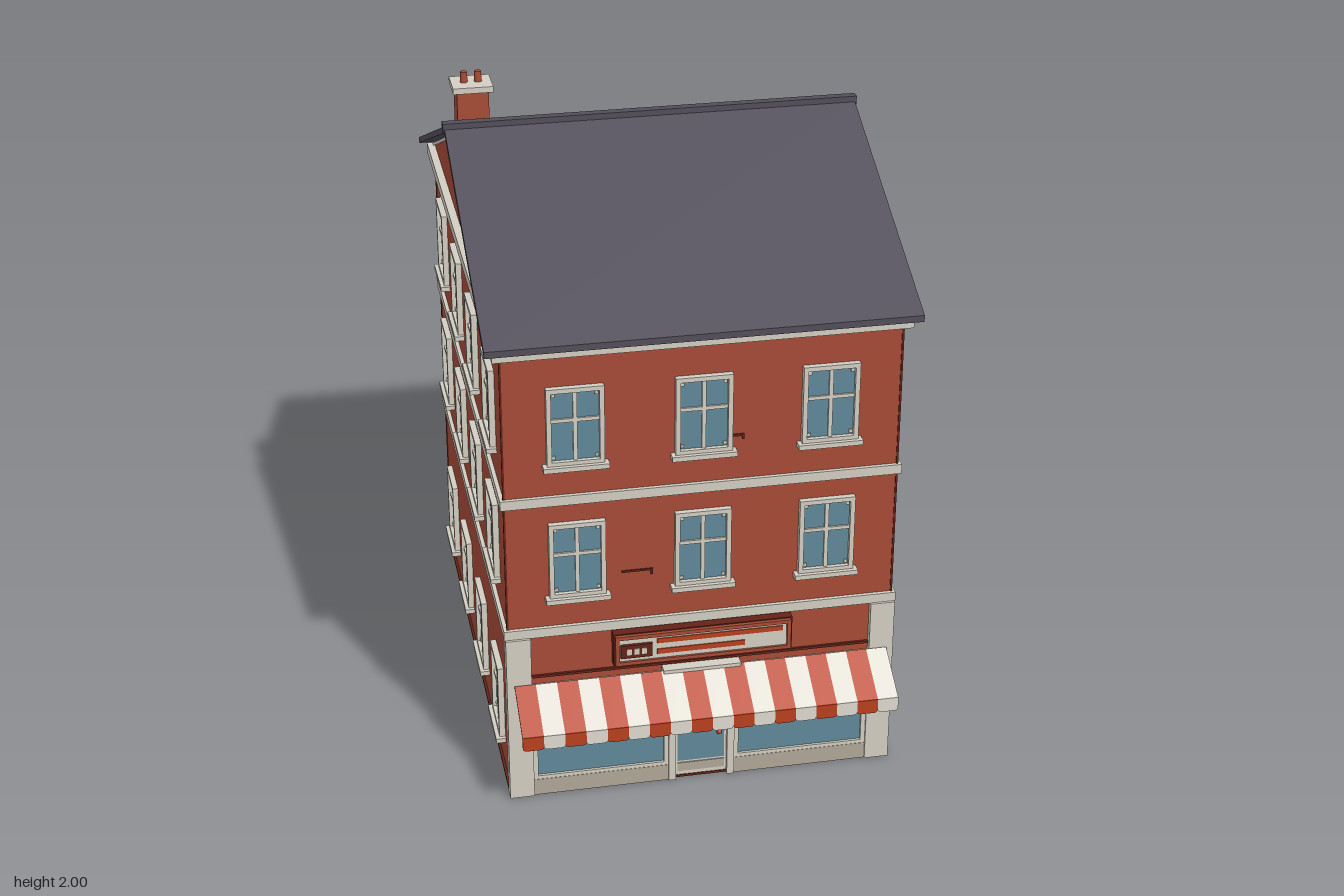
import * as THREE from 'three';

const mat = (name, color, side = THREE.FrontSide) => {
  const m = new THREE.MeshStandardMaterial({ color, side });
  m.name = name;
  return m;
};

export function createModel() {
  const brick = mat('brick', 0xa64b36);
  const trim = mat('trim', 0xd3cec2);
  const slate = mat('slate', 0x524e5a);
  const glass = mat('glass', 0x5f8799);
  const red = mat('awningRed', 0xb8401f, THREE.DoubleSide);
  const white = mat('awningWhite', 0xdedad0, THREE.DoubleSide);
  const stone = mat('stone', 0xb0a696);
  const dark = mat('darkRed', 0x642318);

  const model = new THREE.Group();
  model.name = 'cornerShop';

  const add = (parent, name, geometry, material) => {
    const m = new THREE.Mesh(geometry, material);
    m.name = name;
    parent.add(m);
    return m;
  };
  // Box given by its limits on each axis
  const box = (parent, name, material, x0, x1, y0, y1, z0, z1) => {
    const m = add(parent, name, new THREE.BoxGeometry(x1 - x0, y1 - y0, z1 - z0), material);
    m.position.set((x0 + x1) / 2, (y0 + y1) / 2, (z0 + z1) / 2);
    return m;
  };
  // Profile drawn in (z, y) and extruded along x about the centre
  const prism = (name, material, points, width) => {
    const shape = new THREE.Shape(points.map(([z, y]) => new THREE.Vector2(z, y)));
    const g = new THREE.ExtrudeGeometry(shape, { depth: width, bevelEnabled: false });
    g.translate(0, 0, -width / 2);
    g.rotateY(-Math.PI / 2);
    return add(model, name, g, material);
  };
  // Rectangular frame with an opening, standing on z = 0
  const frame = (parent, name, material, w, h, border, depth) => {
    const s = new THREE.Shape();
    s.moveTo(-w / 2, 0).lineTo(w / 2, 0).lineTo(w / 2, h).lineTo(-w / 2, h).closePath();
    const a = w / 2 - border, p = new THREE.Path();
    p.moveTo(-a, border).lineTo(-a, h - border).lineTo(a, h - border).lineTo(a, border).closePath();
    s.holes.push(p);
    return add(parent, name, new THREE.ExtrudeGeometry(s, { depth, bevelEnabled: false }), material);
  };

  // Walls, base and corner strips
  const W = 0.578, F = 0.71, B = -0.838, mid = -0.065;
  box(model, 'walls', brick, -W, W, 0, 1.5, B, F);
  box(model, 'base', dark, -W - 0.008, W + 0.008, 0, 0.008, B - 0.01, F + 0.008);
  prism('gables', brick, [[F, 1.5], [mid, 1.838], [B, 1.5]], 2 * W);
  for (const s of [-1, 1])
    for (const z of [B, F])
      box(model, 'cornerStrip', dark, s * W - 0.003, s * W + 0.003, 0.008, 1.465, z - 0.003, z + 0.003);

  // Horizontal bands and cornice
  for (const [name, y0, y1, o] of [['lowerBand', 0.555, 0.585, 0.012],
    ['upperBand', 0.99, 1.02, 0.012], ['cornice', 1.465, 1.5, 0.024]])
    box(model, name, trim, -W - o, W + o, y0, y1, B - o, F + o);

  // Roof slopes, rake trim, ridge
  prism('roof', slate, [[0.755, 1.492], [0.755, 1.512], [mid, 1.86], [-0.885, 1.512],
    [-0.885, 1.492], [mid, 1.84]], 1.25);
  prism('rakeTrim', trim, [[0.735, 1.496], [mid, 1.843], [-0.865, 1.496],
    [-0.84, 1.496], [mid, 1.832], [0.71, 1.496]], 2 * W + 0.012);
  box(model, 'ridge', slate, -0.63, 0.63, 1.845, 1.872, mid - 0.014, mid + 0.014);

  // Chimney
  const chimney = new THREE.Group();
  chimney.name = 'chimney';
  model.add(chimney);
  box(chimney, 'stack', brick, -0.58, -0.485, 1.76, 1.95, -0.18, -0.095);
  box(chimney, 'cap', trim, -0.592, -0.472, 1.95, 1.968, -0.192, -0.083);
  for (const x of [-0.553, -0.511])
    add(chimney, 'pot', new THREE.CylinderGeometry(0.01, 0.012, 0.035, 10), brick)
      .position.set(x, 1.9825, -0.14);

  // Sash windows
  const addWindow = (x, y, z, angle) => {
    const g = new THREE.Group();
    g.name = 'window';
    g.position.set(x, y, z);
    g.rotation.y = angle;
    model.add(g);
    frame(g, 'windowFrame', trim, 0.166, 0.245, 0.014, 0.018);
    box(g, 'pane', glass, -0.072, 0.072, 0.01, 0.235, -0.004, 0.005);
    box(g, 'mullion', trim, -0.006, 0.006, 0.012, 0.233, 0.003, 0.011);
    box(g, 'crossbar', trim, -0.072, 0.072, 0.136, 0.147, 0.003, 0.011);
    for (const sx of [-1, 1])
      for (const yy of [0.024, 0.221])
        box(g, 'cornerBlock', trim, sx * 0.062 - 0.005, sx * 0.062 + 0.005, yy - 0.005, yy + 0.005, 0.003, 0.009);
    box(g, 'sill', trim, -0.095, 0.095, -0.013, 0.002, 0, 0.03);
  };
  for (const y of [0.12, 0.685, 1.12]) {
    if (y > 0.5) for (const x of [-0.37, 0, 0.37]) addWindow(x, y, F, 0);
    for (const z of [0.495, 0.12, -0.255, -0.63])
      for (const s of [-1, 1]) addWindow(s * W, y, z, s * Math.PI / 2);
  }

  // Shop front
  const shop = new THREE.Group();
  shop.name = 'shopFront';
  model.add(shop);
  for (const s of [-1, 1]) {
    box(shop, 'pilaster', trim, s * 0.55 - 0.037, s * 0.55 + 0.037, 0, 0.556, 0.69, 0.73);
    box(shop, 'stallRiser', stone, s * 0.307 - 0.206, s * 0.307 + 0.206, 0, 0.055, 0.7, 0.725);
    const f = frame(shop, 'displayFrame', trim, 0.412, 0.335, 0.014, 0.014);
    f.position.set(s * 0.307, 0.053, F);
    box(shop, 'displayGlass', glass, s * 0.307 - 0.195, s * 0.307 + 0.195, 0.065, 0.376, F - 0.003, F + 0.006);
    box(shop, 'doorPost', trim, s * 0.09 - 0.011, s * 0.09 + 0.011, 0, 0.39, 0.7, 0.73);
  }
  box(shop, 'doorHead', trim, -0.1, 0.1, 0.365, 0.39, 0.7, 0.728);
  box(shop, 'door', trim, -0.08, 0.08, 0, 0.366, 0.7, 0.716);
  box(shop, 'doorGlass', glass, -0.072, 0.072, 0.06, 0.355, 0.714, 0.719);
  box(shop, 'kickPlate', stone, -0.072, 0.072, 0.022, 0.052, 0.714, 0.719);
  add(shop, 'doorHandle', new THREE.SphereGeometry(0.008, 10, 8), red).position.set(0.055, 0.155, 0.725);
  box(shop, 'fasciaMoulding', dark, -0.513, 0.513, 0.412, 0.42, 0.7, 0.717);

  // Sign board with a plain badge and stripes
  const sign = new THREE.Group();
  sign.name = 'signBoard';
  model.add(sign);
  box(sign, 'signBacking', dark, -0.27, 0.27, 0.44, 0.547, 0.7, 0.738);
  const rim = frame(sign, 'signRim', brick, 0.53, 0.1, 0.012, 0.012);
  rim.position.set(0, 0.4435, 0.737);
  box(sign, 'signPanel', trim, -0.252, 0.252, 0.456, 0.531, 0.735, 0.743);
  box(sign, 'signStripeLong', red, -0.14, 0.24, 0.508, 0.524, 0.741, 0.746);
  box(sign, 'signStripeShort', red, -0.14, 0.125, 0.471, 0.488, 0.741, 0.746);
  box(sign, 'badge', dark, -0.25, -0.155, 0.47, 0.514, 0.741, 0.752);
  for (const x of [-0.225, -0.2025, -0.18])
    box(sign, 'badgeBar', trim, x - 0.007, x + 0.007, 0.482, 0.502, 0.75, 0.754);

  // Striped awning with a scalloped valance
  const awning = new THREE.Group();
  awning.name = 'awning';
  model.add(awning);
  const N = 18, step = 1.13 / N, run = 0.15, drop = 0.085;
  for (let i = 0; i < N; i++) {
    const m = i % 2 ? white : red, x = -0.565 + step * (i + 0.5);
    const cloth = add(awning, 'awningStripe',
      new THREE.BoxGeometry(step, 0.006, Math.hypot(run, drop)), m);
    cloth.position.set(x, 0.4 - drop / 2, 0.733 + run / 2);
    cloth.rotation.x = Math.atan2(drop, run);
    const s = new THREE.Shape(), h = step / 2;
    s.moveTo(-h, 0.32).lineTo(-h, 0.285).quadraticCurveTo(-h, 0.274, -h + 0.012, 0.274)
      .lineTo(h - 0.012, 0.274).quadraticCurveTo(h, 0.274, h, 0.285).lineTo(h, 0.32).closePath();
    add(awning, 'valance', new THREE.ExtrudeGeometry(s, { depth: 0.005, bevelEnabled: false, curveSegments: 4 }), m)
      .position.set(x, 0, 0.88);
  }
  box(awning, 'awningRail', trim, -0.12, 0.115, 0.392, 0.408, 0.71, 0.745);

  // Hairline wall marks
  box(model, 'wallMark', dark, -0.24, -0.15, 0.742, 0.748, F, F + 0.004);
  box(model, 'wallMark', dark, -0.153, -0.147, 0.728, 0.748, F, F + 0.004);
  box(model, 'wallMark', dark, 0.085, 0.12, 1.158, 1.165, F, F + 0.004);
  box(model, 'wallMark', dark, 0.114, 0.12, 1.148, 1.165, F, F + 0.004);
  return model;
}
